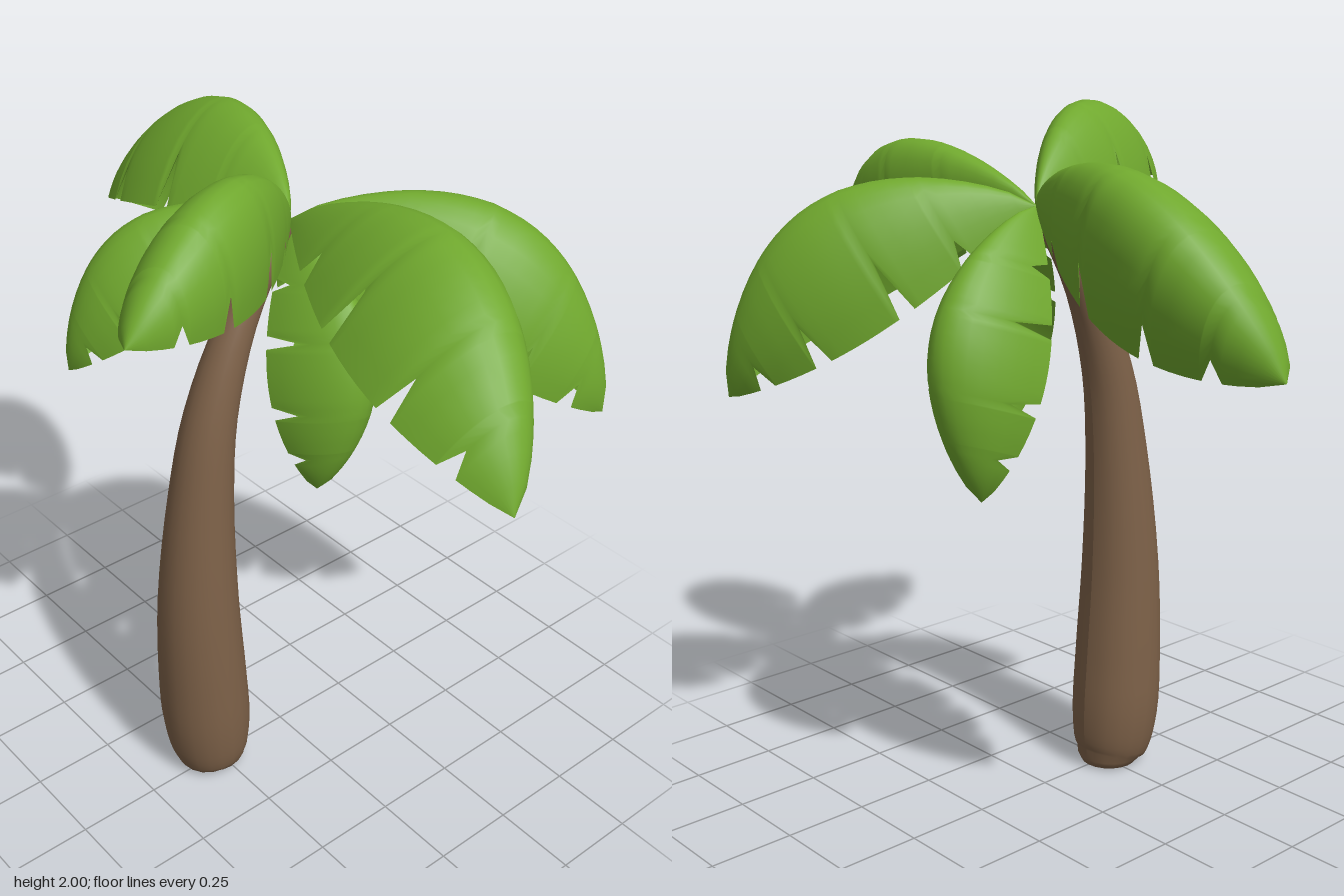
import * as THREE from 'three';

const leafGreen = new THREE.MeshStandardMaterial({ color: 0x70a82e, side: THREE.DoubleSide });
leafGreen.name = 'leafGreen';
const barkBrown = new THREE.MeshStandardMaterial({ color: 0x7d6148 });
barkBrown.name = 'barkBrown';

// Smooth surface from equal rows of points; faces look along (column step) x (row step)
function gridGeometry(rows) {
  const n = rows[0].length, index = [];
  for (let i = 0; i < rows.length - 1; i++) {
    for (let j = 0; j < n - 1; j++) {
      const a = i * n + j, b = a + n;
      index.push(a, a + 1, b, a + 1, b + 1, b);
    }
  }
  const g = new THREE.BufferGeometry().setFromPoints(rows.flat());
  g.setIndex(index);
  g.computeVertexNormals();
  return g;
}

// Leaning trunk: [x, y, z, radius] stations, lofted with rings square to the path
function trunkGeometry() {
  const stations = [
    [-0.26, 0.005, -0.01, 0.085], [-0.27, 0.05, -0.012, 0.113], [-0.28, 0.17, -0.015, 0.132],
    [-0.29, 0.36, -0.015, 0.131], [-0.295, 0.65, -0.015, 0.117], [-0.272, 1.0, -0.015, 0.092],
    [-0.23, 1.25, -0.015, 0.074], [-0.13, 1.5, -0.018, 0.053], [0.03, 1.73, -0.02, 0.03],
  ];
  const path = new THREE.CatmullRomCurve3(stations.map(s => new THREE.Vector3(s[0], s[1], s[2])));
  const radii = new THREE.CatmullRomCurve3(stations.map(s => new THREE.Vector3(s[3], s[1], 0)));
  const rows = [], steps = 32, sides = 20;
  const ring = (c, u, r) => Array.from({ length: sides + 1 }, (_, j) => {
    const a = j / sides * Math.PI * 2;
    return c.clone().addScaledVector(u, Math.cos(a) * r).add(new THREE.Vector3(0, 0, -Math.sin(a) * r));
  });
  // closed underside
  rows.push(ring(new THREE.Vector3(-0.26, 0, -0.01), new THREE.Vector3(1, 0, 0), 0.0005));
  rows.push(ring(new THREE.Vector3(-0.26, 0, -0.01), new THREE.Vector3(1, 0, 0), 0.07));
  for (let i = 0; i <= steps; i++) {
    const t = i / steps, tan = path.getTangent(t);
    const u = i < 3 ? new THREE.Vector3(1, 0, 0) : new THREE.Vector3(tan.y, -tan.x, 0).normalize();
    rows.push(ring(path.getPoint(t), u, radii.getPoint(t).x));
  }
  return gridGeometry(rows);
}

// Frond of unit length along +x: arched shell with torn notches in both margins
function frondGeometry() {
  const notches = [[0.22, 0.2], [0.42, 0.3], [0.68, 0.24], [0.86, 0.24]];
  const half = 0.024;
  const stations = Array.from({ length: 25 }, (_, i) => i / 24)
    .filter(s => notches.every(([p]) => Math.abs(s - p) > half));
  for (const [p] of notches) stations.push(p - half, p, p + half);
  stations.sort((a, b) => a - b);

  const rows = stations.map(s => {
    const arch = Math.sin(Math.PI * s);
    const ridge = 0.32 * Math.pow(Math.max(arch, 0), 0.75);
    const margin = -0.03 * arch;
    const width = 0.168 * Math.pow(Math.max(Math.sin(Math.PI * Math.pow(s, 1.25)), 0.001), 0.7);
    let reach = 1;
    for (const [p, d] of notches) reach -= d * Math.max(0, 1 - Math.abs(s - p) / half);
    return Array.from({ length: 17 }, (_, j) => {
      const a = (j / 8 - 1) * reach * Math.PI / 2;
      return new THREE.Vector3(s, margin + (ridge - margin) * Math.cos(a), width * Math.sin(a));
    });
  });
  return gridGeometry(rows);
}

export function createModel() {
  const model = new THREE.Group();
  model.name = 'palmTree';

  const trunk = new THREE.Mesh(trunkGeometry(), barkBrown);
  trunk.name = 'trunk';
  model.add(trunk);

  // Each frond: tip position and the direction its ridge bulges towards
  const crown = new THREE.Vector3(0.05, 1.74, -0.02);
  const fronds = {
    backFrond: [[0.15, 1.42, -0.98], [0.5, 1, 0]],
    frontFrond: [[-0.12, 1.42, 0.98], [0.5, 1, 0]],
    frontLeftFrond: [[0.66, 1.2, 0.6], [0.1, 1, -0.1]],
    frontRightFrond: [[-0.69, 1.76, 0.29], [0.05, 1, 0.15]],
    backRightFrond: [[-0.46, 1.32, -0.35], [0.1, 1, -0.15]],
    leftFrond: [[0.33, 0.98, -0.11], [1, 0.4, 0]],
    lowerFrontFrond: [[-0.05, 1.05, 0.22], [0.15, 0.3, 1]],
  };
  const geometry = frondGeometry();
  for (const [name, [tip, bulge]] of Object.entries(fronds)) {
    const x = new THREE.Vector3(...tip).sub(crown);
    const length = x.length();
    x.normalize();
    const z = new THREE.Vector3().crossVectors(x, new THREE.Vector3(...bulge)).normalize();
    const y = new THREE.Vector3().crossVectors(z, x);
    const frond = new THREE.Mesh(geometry, leafGreen);
    frond.name = name;
    frond.quaternion.setFromRotationMatrix(new THREE.Matrix4().makeBasis(x, y, z));
    frond.scale.setScalar(length);
    frond.position.copy(crown);
    model.add(frond);
  }
  return model;
}
